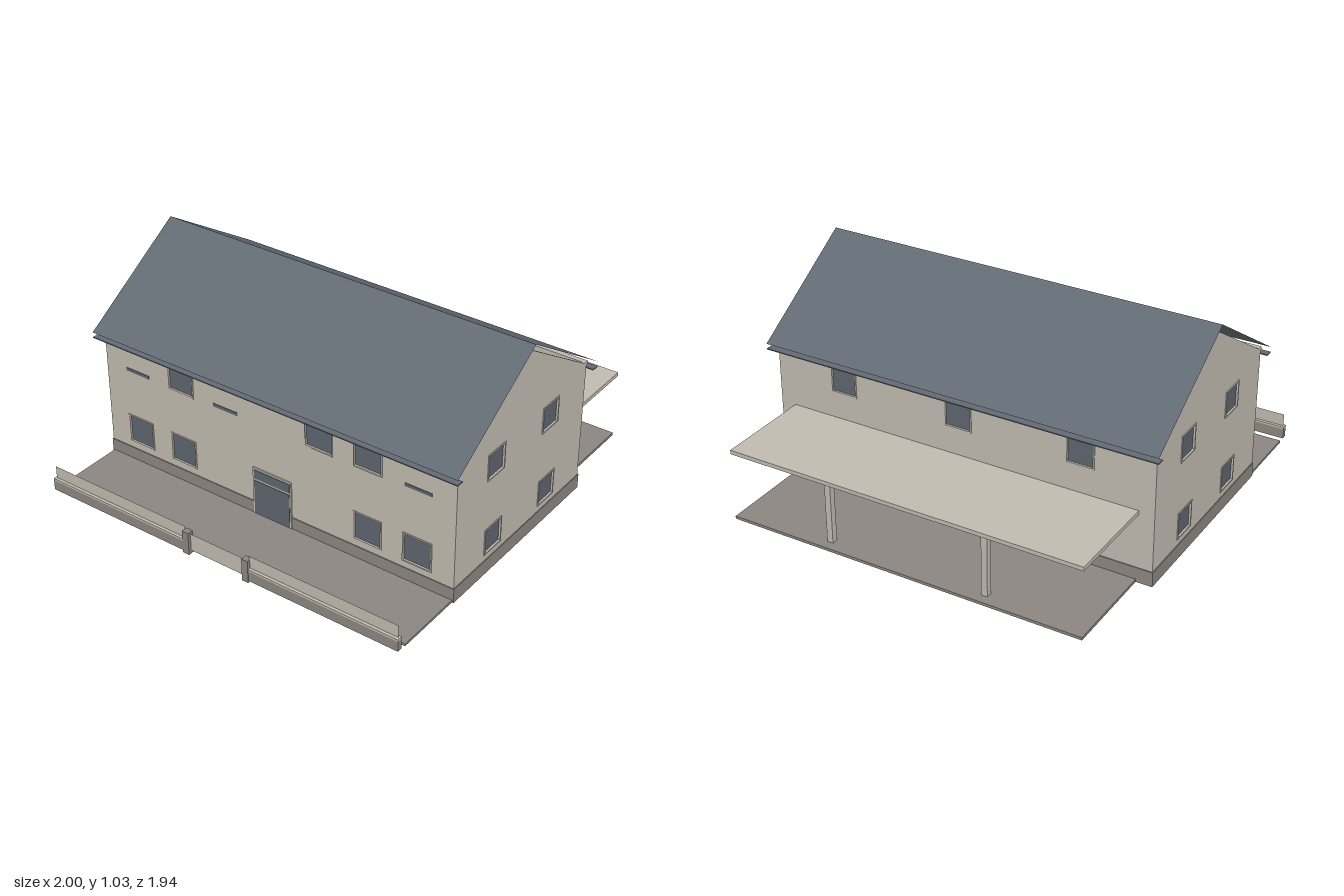
import * as THREE from 'three';

const mat = (name, color, side = THREE.FrontSide) => {
  const m = new THREE.MeshStandardMaterial({ color, side });
  m.name = name;
  return m;
};

export function createModel() {
  const plaster = mat('plaster', 0xbfb9ae, THREE.DoubleSide);
  const stone = mat('stone', 0x8c8581);
  const slate = mat('slate', 0x626a73, THREE.DoubleSide);
  const glass = mat('glass', 0x5d646e);

  const model = new THREE.Group();
  model.name = 'house';
  const CZ = 0.035, HX = 0.97, HZ = 0.5225, T = 0.015;

  const add = (parent, name, geometry, material, x = 0, y = 0, z = 0) => {
    const m = new THREE.Mesh(geometry, material);
    m.name = name;
    m.position.set(x, y, z);
    parent.add(m);
    return m;
  };
  // Box given by its minimum and maximum along each axis
  const box = (parent, name, material, [x0, x1], [y0, y1], [z0, z1]) =>
    add(parent, name, new THREE.BoxGeometry(x1 - x0, y1 - y0, z1 - z0), material,
      (x0 + x1) / 2, (y0 + y1) / 2, (z0 + z1) / 2);
  const rect = (Type, x, y, w, h) => new Type([
    [-1, -1], [1, -1], [1, 1], [-1, 1]
  ].map(([a, b]) => new THREE.Vector2(x + a * w / 2, y + b * h / 2)));
  const extrude = (shape, depth) => new THREE.ExtrudeGeometry(shape, { depth, bevelEnabled: false });

  // One wall facing local +z with its outer face on z = 0; each opening gets a frame and a pane
  function wall(name, points, openings) {
    const g = new THREE.Group();
    g.name = name;
    const shape = new THREE.Shape(points.map(p => new THREE.Vector2(...p)));
    for (const o of openings) {
      if (!o.blind) shape.holes.push(rect(THREE.Path, o.x, o.y, o.w, o.h));
    }
    add(g, name + 'Panel', extrude(shape, T), plaster, 0, 0, -T);
    for (const o of openings) {
      if (o.blind) {
        // Pane on the inner face, with a sill strip outside
        box(g, 'innerPane', glass, [o.x - o.w / 2, o.x + o.w / 2], [o.y - o.h / 2, o.y + o.h / 2], [-T - 0.004, -T - 0.001]);
        if (o.sill) {
          box(g, 'windowSill', glass, [o.x - o.w / 2, o.x + o.w / 2],
            [o.y - o.h / 2, o.y - o.h / 2 + 0.016], [0, 0.003]);
        }
        continue;
      }
      const ring = rect(THREE.Shape, o.x, o.y, o.w + 0.014, o.h + 0.014);
      ring.holes.push(rect(THREE.Path, o.x, o.y, o.w, o.h));
      add(g, 'windowFrame', extrude(ring, 0.004), plaster);
      box(g, 'windowPane', glass, [o.x - o.w / 2, o.x + o.w / 2], [o.y - o.h / 2, o.y + o.h / 2], [-0.012, -0.006]);
    }
    model.add(g);
    return g;
  }

  const longWall = [[-HX + T, 0], [HX - T, 0], [HX - T, 0.685], [-HX + T, 0.685]];
  const gableWall = [[-HZ, 0], [HZ, 0], [HZ, 0.665], [HZ + 0.01, 0.685], [HZ - 0.02, 0.685],
    [0, 1], [-HZ + 0.02, 0.685], [-HZ - 0.01, 0.685], [-HZ, 0.665]];

  // Front: seven bays on two floors, the door in the middle of the lower one
  const front = [];
  for (let i = -3; i <= 3; i++) {
    const size = { x: i * 0.26, w: 0.137, h: 0.137 };
    front.push({ ...size, y: 0.568, blind: ![-2, 1, 2].includes(i), sill: [-3, -1, 3].includes(i) });
    if (i) front.push({ ...size, y: 0.182, blind: Math.abs(i) === 1 });
  }
  wall('frontWall', longWall, front).position.z = CZ + HZ;

  // Back: three windows above, two beside the door below the canopy
  const back = [];
  for (const x of [-0.61, 0, 0.61]) {
    back.push({ x, y: 0.56, w: 0.125, h: 0.125 });
    if (x) back.push({ x, y: 0.175, w: 0.125, h: 0.125 });
  }
  const backWall = wall('backWall', longWall, back);
  backWall.position.z = CZ - HZ;
  backWall.rotation.y = Math.PI;

  // Gable ends
  for (const s of [-1, 1]) {
    const openings = [];
    for (const x of [-0.2225, 0.2225]) {
      for (const y of [0.172, 0.56]) openings.push({ x, y, w: 0.12, h: 0.12 });
    }
    const end = wall(s > 0 ? 'leftGable' : 'rightGable', gableWall, openings);
    end.position.set(s * HX, 0, CZ);
    end.rotation.y = s * Math.PI / 2;
    box(model, 'endPlinth', stone, s > 0 ? [HX - T, HX + 0.004] : [-HX - 0.004, -HX + T],
      [0, 0.073], [CZ - HZ, CZ + HZ]);
  }

  // Plinth, cornice, gutter and roof slope on each long side
  const run = 0.572, rise = 0.363;
  for (const s of [-1, 1]) {
    const span = (a, b) => [CZ + s * a, CZ + s * b].sort((p, q) => p - q);
    box(model, 'longPlinth', stone, [-HX - 0.004, HX + 0.004], [0, 0.073], span(HZ - T, HZ + 0.004));
    box(model, 'cornice', plaster, [-HX, HX], [0.667, 0.685], span(HZ, HZ + 0.01));
    box(model, 'gutter', slate, [-1, 1], [0.643, 0.648], span(HZ + 0.012, run));
    const slope = new THREE.PlaneGeometry(2, Math.hypot(run, rise));
    slope.rotateX(-Math.PI / 2 + s * Math.atan2(rise, run));
    add(model, 'roofSlope', slope, slate, 0, 1.035 - rise / 2, CZ + s * run / 2);
  }

  // Doors with a transom light
  for (const s of [-1, 1]) {
    const door = new THREE.Group();
    door.name = s > 0 ? 'frontDoor' : 'backDoor';
    box(door, 'doorFrame', plaster, [-0.108, 0.108], [0.012, 0.262], [0, 0.007]);
    box(door, 'doorLeaf', glass, [-0.1, 0.1], [0.015, 0.195], [0.004, 0.009]);
    box(door, 'transom', glass, [-0.1, 0.1], [0.205, 0.252], [0.004, 0.009]);
    box(door, 'innerDoor', glass, [-0.1, 0.1], [0.015, 0.252], [-T - 0.006, -T - 0.001]);
    door.position.z = CZ + s * HZ;
    if (s < 0) door.rotation.y = Math.PI;
    model.add(door);
  }

  // Terraces
  box(model, 'frontTerrace', stone, [-0.966, 0.966], [0, 0.012], [0.555, 0.912]);
  box(model, 'backTerrace', stone, [-0.895, 0.895], [0, 0.014], [-0.973, -0.487]);

  // Back canopy on two posts
  box(model, 'canopy', plaster, [-0.895, 0.895], [0.34, 0.36], [-0.97, -0.487]);
  for (const x of [-0.4, 0.4]) {
    box(model, 'canopyPost', plaster, [x - 0.015, x + 0.015], [0.014, 0.34], [-0.928, -0.897]);
  }

  // Front fence: low walls with thin panels, gate posts and a gate
  for (const s of [-1, 1]) {
    const span = (a, b) => [s * a, s * b].sort((p, q) => p - q);
    box(model, 'fenceBase', stone, span(0.18, 0.968), [0.01, 0.062], [0.941, 0.967]);
    box(model, 'fenceCap', plaster, span(0.18, 0.968), [0.062, 0.072], [0.94, 0.968]);
    add(model, 'fencePanel', new THREE.PlaneGeometry(0.78, 0.062), plaster, s * 0.57, 0.104, 0.954);
    box(model, 'gatePost', stone, span(0.15, 0.184), [0, 0.116], [0.938, 0.97]);
  }
  add(model, 'gate', new THREE.PlaneGeometry(0.3, 0.09), plaster, 0, 0.062, 0.954);

  return model;
}
